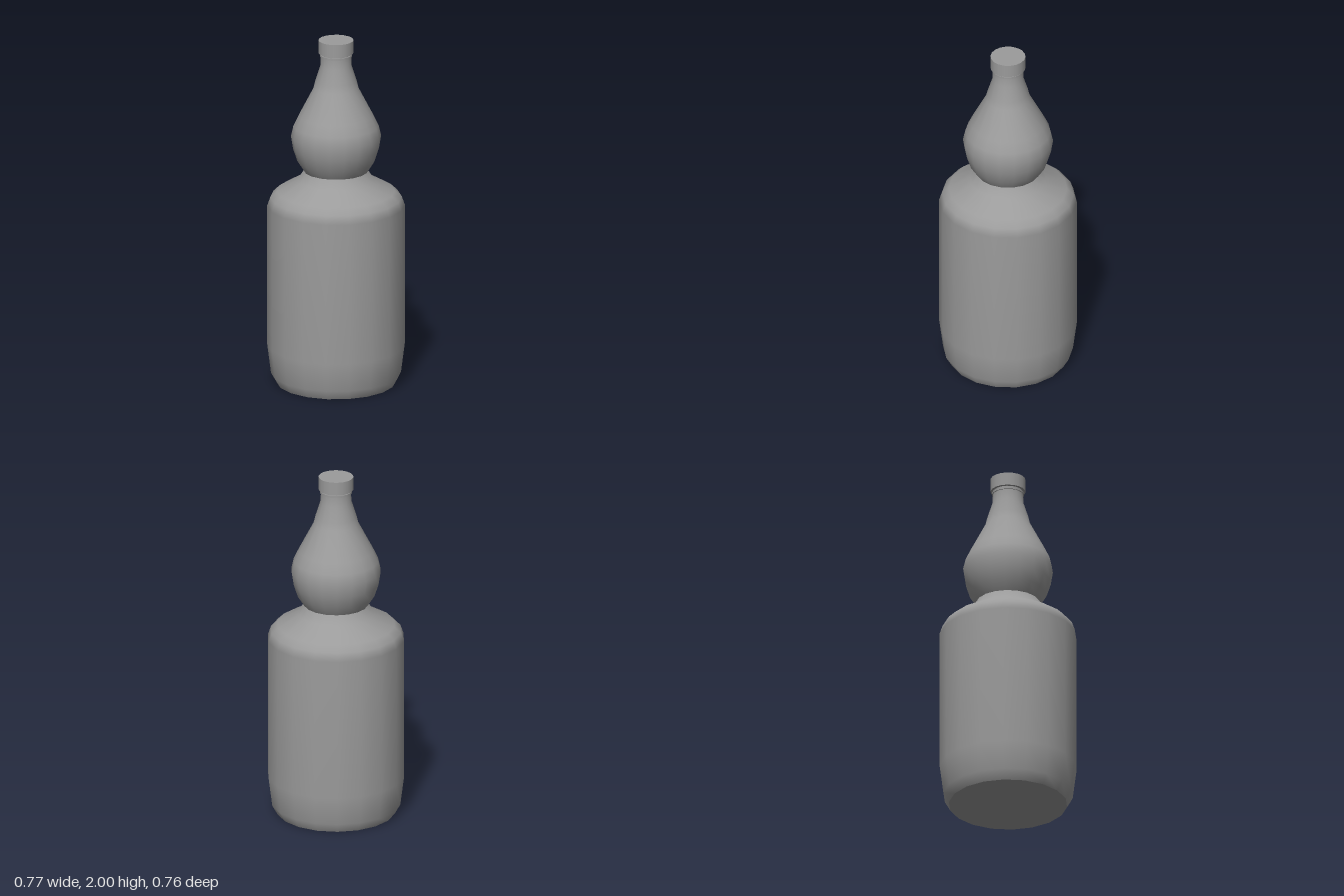
import * as THREE from 'three';

const SIDES = 18;

export function createModel() {
  const bottle = new THREE.Group();
  bottle.name = 'bottle';
  const material = new THREE.MeshStandardMaterial({ color: 0x9b9b9b });

  // Turned part from [radius, height] points, with a corner on the x axis
  const turn = (name, profile) => {
    const points = profile.map(([r, y]) => new THREE.Vector2(r, y));
    const mesh = new THREE.Mesh(new THREE.LatheGeometry(points, SIDES, Math.PI / 2), material);
    mesh.name = name;
    bottle.add(mesh);
  };

  // Flat base and tall body with a rounded shoulder
  turn('base', [[0, 0], [0.332, 0]]);
  turn('body', [
    [0.332, 0], [0.363, 0.055], [0.384, 0.22], [0.384, 1.035],
    [0.367, 1.083], [0.33, 1.118], [0.212, 1.185], [0.178, 1.24],
  ]);

  // Bulb tapering into the neck
  turn('bulbUnderside', [[0.17, 1.238], [0.18, 1.238]]);
  turn('bulbAndNeck', [
    [0.18, 1.238], [0.217, 1.295], [0.24, 1.365], [0.252, 1.44], [0.238, 1.5],
    [0.209, 1.56], [0.126, 1.72], [0.116, 1.762], [0.088, 1.85], [0.085, 1.905],
  ]);

  // Seal ring below the cap
  turn('sealRingUnderside', [[0.08, 1.905], [0.09, 1.905]]);
  turn('sealRing', [[0.09, 1.905], [0.09, 1.917]]);
  turn('sealRingTop', [[0.09, 1.917], [0.08, 1.917]]);
  turn('capNeck', [[0.083, 1.915], [0.083, 1.927]]);

  // Screw cap with a flat top
  turn('capUnderside', [[0.075, 1.925], [0.098, 1.925]]);
  turn('capSide', [[0.098, 1.925], [0.098, 2]]);
  turn('capTop', [[0.098, 2], [0, 2]]);

  return bottle;
}
